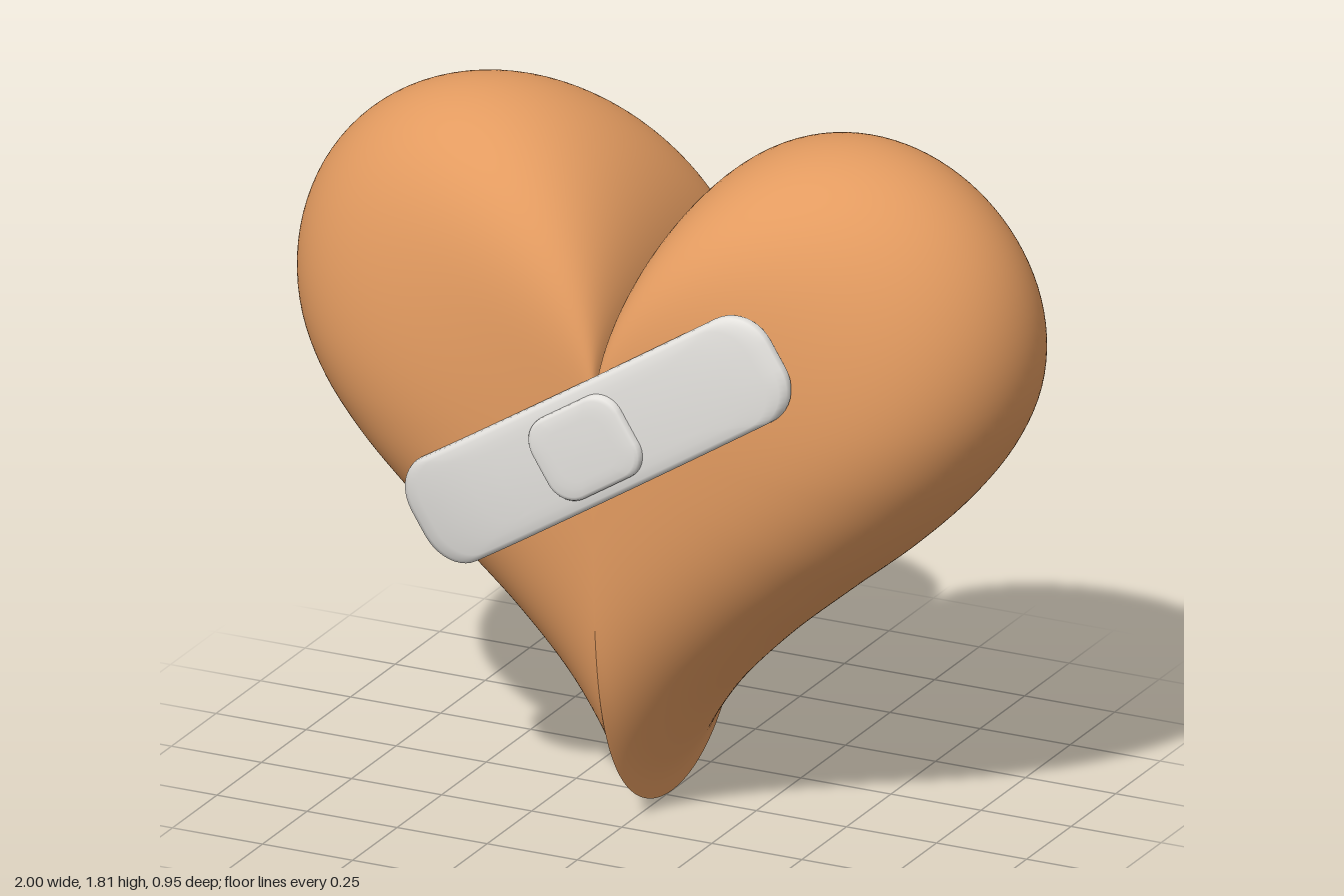
import * as THREE from 'three';
import { mergeVertices } from 'three/addons/utils/BufferGeometryUtils.js';

// Smooth grid surface from a rule point(i, j) -> [x, y, z]
function loft(nI, nJ, point, flip = false) {
  const pos = [], index = [];
  for (let j = 0; j <= nJ; j++) for (let i = 0; i <= nI; i++) pos.push(...point(i, j));
  for (let j = 0; j < nJ; j++) {
    for (let i = 0; i < nI; i++) {
      const a = j * (nI + 1) + i, b = a + 1, d = a + nI + 1, c = d + 1;
      if (flip) index.push(a, c, b, a, d, c);
      else index.push(a, b, c, a, c, d);
    }
  }
  let g = new THREE.BufferGeometry();
  g.setAttribute('position', new THREE.Float32BufferAttribute(pos, 3));
  g.setIndex(index);
  g = mergeVertices(g, 1e-5);
  g.computeVertexNormals();
  return g;
}

// Half heart outline: short concave tip, full flank, round lobe, then the notch
const profile = [[0, 0], [0.018, 0.065], [0.065, 0.155], [0.165, 0.3], [0.325, 0.47],
  [0.51, 0.632], [0.68, 0.775], [0.82, 0.915], [0.92, 1.05], [0.98, 1.185]];
for (let k = 0; k <= 12; k++) {
  const a = k * Math.PI / 12;
  profile.push([0.499 + 0.499 * Math.cos(a), 1.315 + 0.494 * Math.sin(a)]);
}
profile.push([0, 1.22]);
const outline = new THREE.CatmullRomCurve3(
  profile.map(([x, y]) => new THREE.Vector3(x, y, 0)), false, 'centripetal').getSpacedPoints(100);

// Heart half: the outline shrinks towards the front and back, more roundly at the lobe tops
function heartHalf(side) {
  const cy = 1.1, depth = 0.443, mid = -0.032, rows = 90;
  return loft(100, rows, (i, j) => {
    const t = (j / rows - 0.5) * Math.PI;
    const p = outline[i];
    const power = 4.2 - 1.1 * THREE.MathUtils.smoothstep(p.y, 1.0, 1.8);
    const s = j % rows === 0 ? 0 : Math.cos(t) ** (2 / power);
    return [side * Math.max(0, p.x) * s, cy + (p.y - cy) * s, mid + depth * Math.sin(t)];
  }, side < 0);
}

// Rounded rectangle contour, counter-clockwise, with evenly divided straight edges
function roundedRect(halfL, halfW, r) {
  const pts = [], corners = [[1, -1], [1, 1], [-1, 1], [-1, -1]];
  corners.forEach(([sx, sy], k) => {
    for (let i = 0; i <= 10; i++) {
      const a = (k - 1 + i / 10) * Math.PI / 2;
      pts.push([sx * (halfL - r) + r * Math.cos(a), sy * (halfW - r) + r * Math.sin(a)]);
    }
    const [x, y] = pts[pts.length - 1];
    const dx = k === 1 ? -1 : k === 3 ? 1 : 0, dy = k === 0 ? 1 : k === 2 ? -1 : 0;
    const length = 2 * (dx ? halfL - r : halfW - r), steps = Math.ceil(length / 0.03);
    for (let i = 1; i < steps; i++) pts.push([x + dx * length * i / steps, y + dy * length * i / steps]);
  });
  pts.push(pts[0]);
  return pts;
}

// Soft plate lying along the bent plaster surface
function plate(halfL, halfW, r, lift, thick) {
  const contour = roundedRect(halfL, halfW, r);
  const angle = 0.56, cos = Math.cos(angle), sin = Math.sin(angle);
  // inset from the rim and height of each ring, from underside to top
  const rings = [[1, -thick], [0.5, -thick], [0.02, -thick], [0, -thick * 0.6], [0.01, -thick * 0.3],
    [0.04, -thick * 0.12], [0.1, -0.002], [0.25, 0], [0.4, 0], [0.55, 0], [0.7, 0], [0.85, 0], [1, 0]];
  return loft(contour.length - 1, rings.length - 1, (i, j) => {
    const [inset, h] = rings[j];
    const u = contour[i][0] * (1 - inset), v = contour[i][1] * (1 - inset);
    const z = 0.454 - 0.09 * u * u - 0.3 * Math.min(0, u + 0.3) ** 2 - 0.3 * v * v;
    return [u * cos - v * sin, 1.085 + u * sin + v * cos, z + lift + h];
  });
}

export function createModel() {
  const model = new THREE.Group();
  const heartMat = new THREE.MeshStandardMaterial({ color: 0xe39b60 });
  heartMat.name = 'warm tan';
  const plasterMat = new THREE.MeshStandardMaterial({ color: 0xe4e2de });
  plasterMat.name = 'off white';

  const add = (parent, name, geometry, material) => {
    const mesh = new THREE.Mesh(geometry, material);
    mesh.name = name;
    parent.add(mesh);
  };

  // Heart body
  const heart = new THREE.Group();
  heart.name = 'heart';
  add(heart, 'leftHalf', heartHalf(1), heartMat);
  add(heart, 'rightHalf', heartHalf(-1), heartMat);

  // Sticking plaster with its pad
  const plaster = new THREE.Group();
  plaster.name = 'plaster';
  add(plaster, 'strip', plate(0.595, 0.147, 0.11, 0, 0.05), plasterMat);
  add(plaster, 'pad', plate(0.145, 0.115, 0.07, 0.021, 0.04), plasterMat);

  model.add(heart, plaster);
  return model;
}
